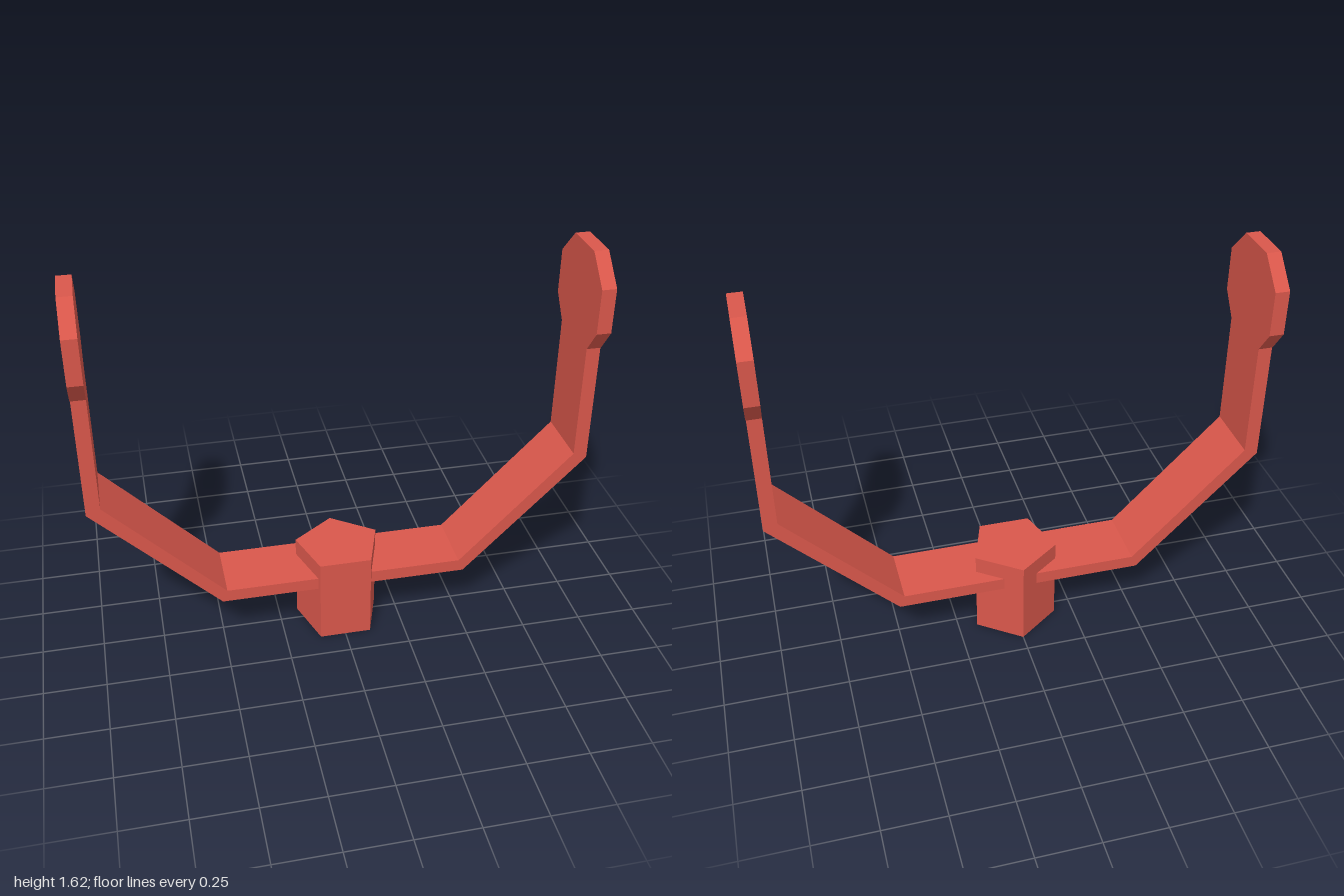
import * as THREE from 'three';

export function createModel() {
  const group = new THREE.Group();
  const red = new THREE.MeshStandardMaterial({ color: 0xd9574b, flatShading: true });
  red.name = 'coral red';

  const add = (name, geometry) => {
    const mesh = new THREE.Mesh(geometry, red);
    mesh.name = name;
    group.add(mesh);
  };
  const shapeOf = (points) => new THREE.Shape(points.map(([x, y]) => new THREE.Vector2(x, y)));
  const mirrored = (points) => [...points, ...points.map(([x, y]) => [-x, y]).reverse()];

  // pentagonal hub, point to the back
  const hub = new THREE.CylinderGeometry(0.18, 0.18, 0.37, 5, 1, false, Math.PI);
  hub.translate(0, 0.185, 0);
  add('hub', hub);

  // bent strap: one half of the outer edge, then of the inner edge
  const outer = [[0.505, 0.245], [0.998, 0.74], [0.998, 1.235]];
  const inner = [[0.942, 1.235], [0.942, 0.763], [0.485, 0.297]];
  const strap = new THREE.ExtrudeGeometry(shapeOf(mirrored([...outer, ...inner])), {
    depth: 0.26, bevelEnabled: false,
  });
  strap.translate(0, 0, -0.13);
  add('strap', strap);

  // faceted paddles at both ends
  const outline = mirrored([[0.13, 1.235], [0.2, 1.33], [0.2, 1.51], [0.092, 1.62]]);
  for (const side of [1, -1]) {
    const paddle = new THREE.ExtrudeGeometry(shapeOf(outline), { depth: 0.058, bevelEnabled: false });
    paddle.rotateY(-Math.PI / 2);
    paddle.translate(side * 0.971 + 0.029, 0, 0);
    add(side > 0 ? 'leftPaddle' : 'rightPaddle', paddle);
  }
  return group;
}
